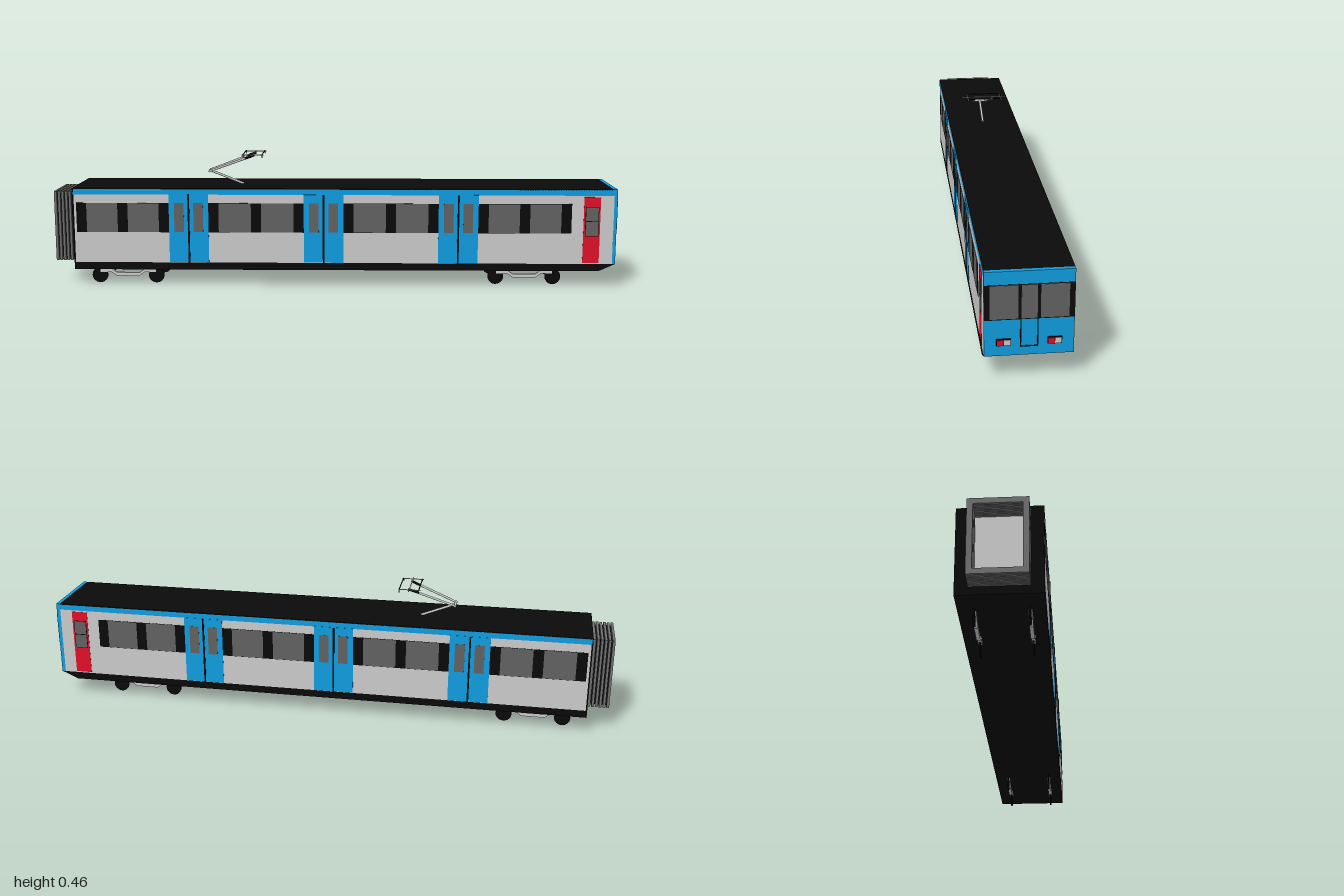
import * as THREE from 'three';

const mat = (color) => new THREE.MeshStandardMaterial({ color, side: THREE.DoubleSide });
const grey = mat(0xcccccc), blue = mat(0x109de0), black = mat(0x0a0a0a);
const glass = mat(0x626262), red = mat(0xe01028), rubber = mat(0x707070);

export function createModel() {
  const car = new THREE.Group();
  car.name = 'railCar';

  const add = (parent, name, geometry, material) => {
    const mesh = new THREE.Mesh(geometry, material);
    mesh.name = name;
    parent.add(mesh);
    return mesh;
  };
  // Box given by its extents on each axis
  const box = (parent, name, material, [x0, x1], [y0, y1], [z0, z1]) => {
    const mesh = add(parent, name, new THREE.BoxGeometry(x1 - x0, y1 - y0, z1 - z0), material);
    mesh.position.set((x0 + x1) / 2, (y0 + y1) / 2, (z0 + z1) / 2);
    return mesh;
  };
  // Straight round bar between two points
  const bar = (parent, name, material, a, b, r) => {
    const p = new THREE.Vector3(...a), q = new THREE.Vector3(...b);
    const mesh = add(parent, name, new THREE.CylinderGeometry(r, r, p.distanceTo(q), 8), material);
    mesh.position.copy(p).add(q).multiplyScalar(0.5);
    mesh.quaternion.setFromUnitVectors(new THREE.Vector3(0, 1, 0), q.sub(p).normalize());
    return mesh;
  };

  // Body shell, roof and nose
  const W = 0.13;
  box(car, 'body', grey, [-0.92, 0.982], [0.086, 0.33], [-W, W]);
  box(car, 'roofStripe', blue, [-0.924, 0.982], [0.33, 0.35], [-W, W]);
  box(car, 'roof', black, [-0.925, 0.98], [0.349, 0.352], [-W, W]);
  box(car, 'rearWall', black, [-0.925, -0.92], [0.086, 0.35], [-W, W]);
  box(car, 'nose', blue, [0.98, 0.993], [0.086, 0.352], [-W, W]);

  // Skirt, cut away under the nose
  const skirt = new THREE.Shape([[-0.925, 0.06], [0.935, 0.06], [0.993, 0.086], [-0.925, 0.086]]
    .map(([x, y]) => new THREE.Vector2(x, y)));
  add(car, 'skirt', new THREE.ExtrudeGeometry(skirt, { depth: 2 * W, bevelEnabled: false }), black)
    .position.z = -W;

  // Front face: windscreens, door outline, lamps
  const F = 0.993;
  box(car, 'windscreenFrame', black, [F, F + 0.001], [0.201, 0.311], [-W, W]);
  for (const [a, b] of [[-0.114, -0.032], [-0.023, 0.023], [0.032, 0.114]]) {
    box(car, 'windscreen', glass, [F, F + 0.002], [0.204, 0.309], [a, b]);
  }
  for (const s of [-1, 1]) {
    box(car, 'frontDoorEdge', black, [F, F + 0.002], [0.114, 0.202], [s * 0.0245 - 0.0015, s * 0.0245 + 0.0015]);
    const c = s * 0.0735;
    box(car, 'lampFrame', black, [F, F + 0.005], [0.12, 0.141], [c - 0.021, c + 0.021]);
    box(car, 'tailLamp', red, [F, F + 0.007], [0.122, 0.139], [c + 0.0005, c + 0.019]);
    box(car, 'headLamp', grey, [F, F + 0.007], [0.122, 0.139], [c - 0.019, c - 0.0005]);
  }
  box(car, 'frontDoorSill', black, [F, F + 0.002], [0.113, 0.116], [-0.026, 0.026]);

  // Side fittings, repeated on both flanks
  const doors = [-0.514, -0.037, 0.438];
  const bands = [[-0.912, -0.584], [-0.444, -0.107], [0.033, 0.368], [0.508, 0.835]];
  for (const s of [-1, 1]) {
    const side = new THREE.Group();
    side.name = s > 0 ? 'leftSide' : 'rightSide';
    car.add(side);
    const panel = (name, material, x, y, out) =>
      box(side, name, material, x, y, s > 0 ? [W - 0.001, W + out] : [-W - out, -W + 0.001]);

    for (const [a, b] of bands) {
      panel('windowBand', black, [a, b], [0.195, 0.3], 0.0006);
      const pillar = 0.036, m = (a + b) / 2;
      panel('window', glass, [a + pillar, m - pillar / 2], [0.196, 0.299], 0.0012);
      panel('window', glass, [m + pillar / 2, b - pillar], [0.196, 0.299], 0.0012);
    }
    for (const c of doors) {
      panel('slidingDoor', blue, [c - 0.07, c + 0.07], [0.087, 0.331], 0.001);
      panel('doorSeal', black, [c - 0.003, c + 0.003], [0.087, 0.33], 0.003);
      for (const d of [-1, 1]) {
        const m = c + d * 0.034;
        panel('doorWindow', glass, [m - 0.017, m + 0.017], [0.197, 0.3], 0.0018);
      }
    }
    panel('cabDoor', red, [0.877, 0.935], [0.09, 0.325], 0.001);
    panel('cabDoorFrame', black, [0.883, 0.93], [0.186, 0.291], 0.0014);
    panel('cabDoorWindow', glass, [0.885, 0.928], [0.188, 0.237], 0.002);
    panel('cabDoorWindow', glass, [0.885, 0.928], [0.24, 0.289], 0.002);
  }

  // Bogies: two wheels and a cranked side beam on each flank
  for (const x of [-0.743, 0.68]) {
    const bogie = new THREE.Group();
    bogie.name = x < 0 ? 'rearBogie' : 'frontBogie';
    bogie.position.x = x;
    car.add(bogie);
    for (const z of [-0.079, 0.084]) {
      for (const dx of [-0.102, 0.102]) {
        const wheel = add(bogie, 'wheel', new THREE.CylinderGeometry(0.028, 0.028, 0.005, 24), black);
        wheel.rotation.x = Math.PI / 2;
        wheel.position.set(dx, 0.03, z);
      }
      const top = [[-0.1, 0.053], [-0.06, 0.053], [-0.04, 0.039], [0.04, 0.039], [0.06, 0.053], [0.1, 0.053]];
      const outline = [...top, ...top.slice().reverse().map(([px, py]) => [px, py - 0.012])];
      const beam = new THREE.Shape(outline.map(([px, py]) => new THREE.Vector2(px, py)));
      add(bogie, 'sideBeam', new THREE.ExtrudeGeometry(beam, { depth: 0.012, bevelEnabled: false }), grey)
        .position.z = z - 0.006;
    }
  }

  // Gangway bellows: hollow frames, ribs standing out from the folds
  const frame = (w, y0, y1, t, depth) => {
    const rect = (Type, i) => new Type([[-w + i, y0 + i], [w - i, y0 + i], [w - i, y1 - i], [-w + i, y1 - i]]
      .map(([x, y]) => new THREE.Vector2(x, y)));
    const shape = rect(THREE.Shape, 0);
    shape.holes.push(rect(THREE.Path, t));
    return new THREE.ExtrudeGeometry(shape, { depth, bevelEnabled: false }).rotateY(Math.PI / 2);
  };
  const bellows = new THREE.Group();
  bellows.name = 'gangwayBellows';
  car.add(bellows);
  add(bellows, 'bellowsSleeve', frame(0.082, 0.093, 0.327, 0.006, 0.07), black).position.x = -0.995;
  for (let i = 0; i < 6; i++) {
    add(bellows, 'bellowsRib', frame(0.09, 0.085, 0.335, 0.018, 0.009), rubber).position.x = -1 + i * 0.0128;
  }
  box(bellows, 'gangwayEndWall', grey, [-0.927, -0.925], [0.1, 0.32], [-0.075, 0.075]);

  // Pantograph
  const panto = new THREE.Group();
  panto.name = 'pantograph';
  car.add(panto);
  bar(panto, 'lowerArm', grey, [-0.33, 0.352, 0], [-0.45, 0.4, 0], 0.0045);
  bar(panto, 'kneeBar', grey, [-0.45, 0.4, -0.026], [-0.45, 0.4, 0.026], 0.0045);
  for (const s of [-1, 1]) {
    bar(panto, 'upperArm', grey, [-0.45, 0.4, s * 0.022], [-0.32, 0.448, s * 0.041], 0.0042);
    bar(panto, 'upperArmEnd', black, [-0.32, 0.448, s * 0.041], [-0.287, 0.46, s * 0.046], 0.0045);
    bar(panto, 'headLink', grey, [-0.33, 0.463, s * 0.062], [-0.252, 0.463, s * 0.062], 0.0018);
    // Contact strip with drooping horns
    const x = -0.291 + s * 0.034;
    bar(panto, 'contactStrip', black, [x, 0.465, -0.062], [x, 0.465, 0.062], 0.0018);
    for (const e of [-1, 1]) bar(panto, 'horn', black, [x, 0.465, e * 0.062], [x, 0.454, e * 0.07], 0.0014);
  }
  bar(panto, 'headCrossBar', grey, [-0.291, 0.463, -0.081], [-0.291, 0.463, 0.081], 0.0016);

  return car;
}
